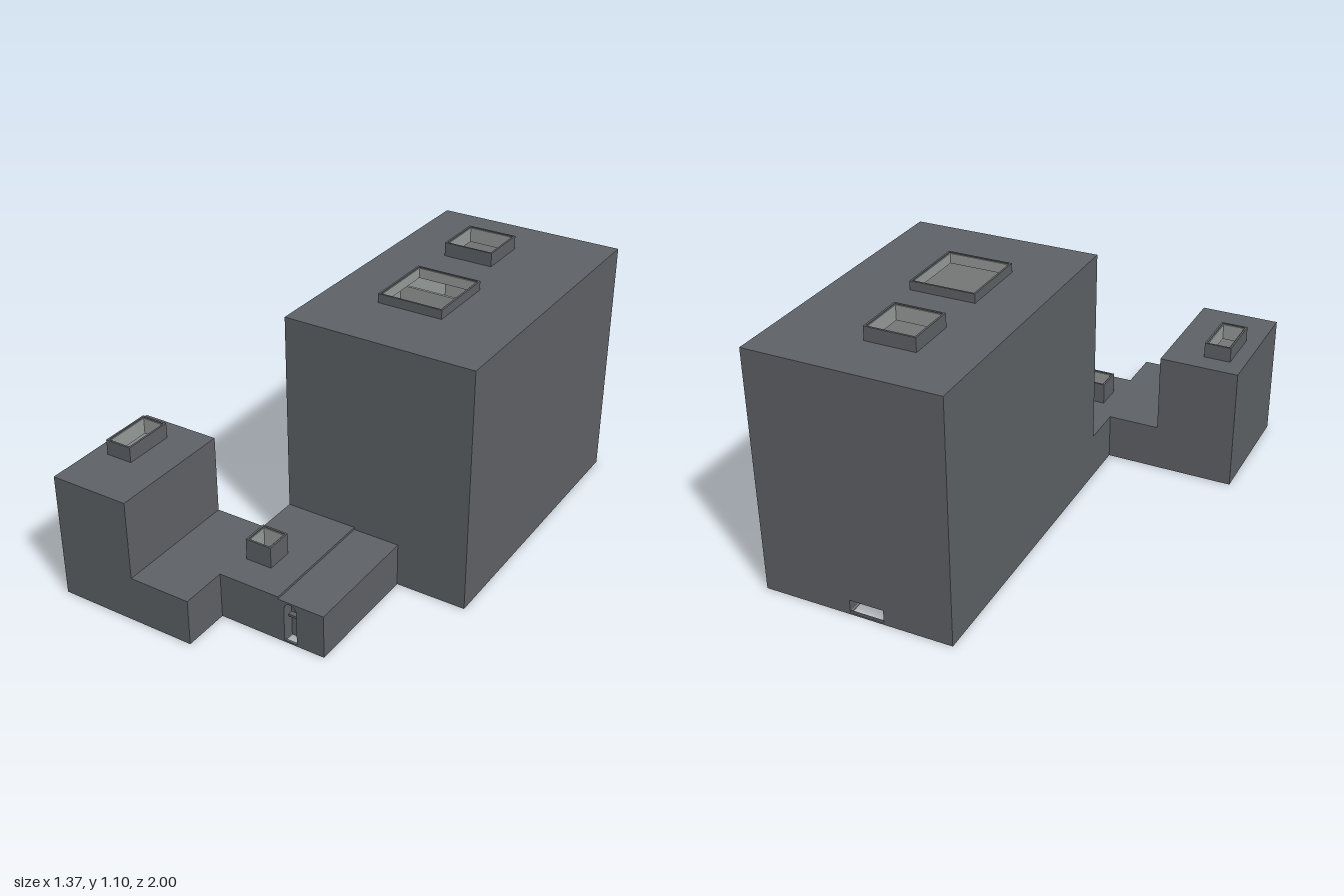
import * as THREE from 'three';

const exterior = new THREE.MeshStandardMaterial({ color: 0x5f6266 });
exterior.name = 'dark grey exterior';
const interior = new THREE.MeshStandardMaterial({ color: 0x979c9a });
interior.name = 'pale grey interior';

const T = 0.008; // wall thickness

export function createModel() {
  const model = new THREE.Group();
  model.name = 'building';

  const add = (name, geo, mat, parent = model) => {
    const m = new THREE.Mesh(geo, mat);
    m.name = name;
    parent.add(m);
    return m;
  };

  const box = (name, x0, x1, y0, y1, z0, z1, mat, parent) => {
    const g = new THREE.BoxGeometry(x1 - x0, y1 - y0, z1 - z0);
    g.translate((x0 + x1) / 2, (y0 + y1) / 2, (z0 + z1) / 2);
    return add(name, g, mat, parent);
  };

  // Four thin walls standing just inside a rectangle; skip leaves sides out
  const ring = (name, [x0, x1, z0, z1], y0, y1, t, mat, parent, skip = '') => {
    if (!skip.includes('l')) box(name, x0, x0 + t, y0, y1, z0, z1, mat, parent);
    if (!skip.includes('r')) box(name, x1 - t, x1, y0, y1, z0, z1, mat, parent);
    if (!skip.includes('b')) box(name, x0 + t, x1 - t, y0, y1, z0, z0 + t, mat, parent);
    if (!skip.includes('f')) box(name, x0 + t, x1 - t, y0, y1, z1 - t, z1, mat, parent);
  };

  const inset = ([x0, x1, z0, z1], d) => [x0 + d, x1 - d, z0 + d, z1 - d];
  const corners = ([x0, x1, z0, z1]) =>
    [[x0, -z1], [x1, -z1], [x1, -z0], [x0, -z0]].map(p => new THREE.Vector2(...p));

  // Horizontal slab with rectangular openings
  const slab = (name, rect, holes, y, t, mat, parent) => {
    const s = new THREE.Shape(corners(rect));
    holes.forEach(h => s.holes.push(new THREE.Path(corners(h))));
    const g = new THREE.ExtrudeGeometry(s, { depth: t, bevelEnabled: false });
    g.rotateX(-Math.PI / 2).translate(0, y, 0);
    return add(name, g, mat, parent);
  };

  // Raised open skylight with a pale inner lining
  const skylight = (rect, roofY, topY, parent) => {
    ring('skylightCurb', rect, roofY - T, topY, T, exterior, parent);
    ring('skylightLining', inset(rect, T), roofY - T, topY - 0.004, 0.004, interior, parent);
  };

  // Hollow volume: walls, roof, floor, lining and skylights
  const volume = (name, rect, h, { lights = [], floorHoles = [], skip = '', lined = false } = {}) => {
    const g = new THREE.Group();
    g.name = name;
    model.add(g);
    ring('wall', rect, 0, h - T, T, exterior, g, skip);
    slab('roof', rect, lights.map(l => inset(l.rect, T)), h - T, T, exterior, g);
    slab('floor', rect, floorHoles, 0, T, exterior, g);
    if (lined) {
      const inner = inset(rect, T);
      ring('wallLining', inner, 0.07, h - T, 0.004, interior, g);
      slab('floorLining', inner, floorHoles, T, 0.004, interior, g);
    }
    lights.forEach(l => skylight(l.rect, h, l.top, g));
    return g;
  };

  // Main hall
  const H = 1.042;
  const hall = volume('mainHall', [-0.125, 0.685, -1, 0.27], H, {
    lights: [
      { rect: [0.107, 0.385, -0.335, -0.025], top: 1.08 },
      { rect: [0.107, 0.32, -0.77, -0.555], top: 1.1 },
    ],
    floorHoles: [[0.165, 0.31, -0.99, -0.92], [0.27, 0.35, -0.3, 0.255]],
    skip: 'b', lined: true,
  });

  // Back wall with a low rectangular opening, and the recess behind it
  const back = new THREE.Shape([
    [-0.125, 0], [0.165, 0], [0.165, 0.065], [0.31, 0.065], [0.31, 0], [0.685, 0],
    [0.685, H - T], [-0.125, H - T],
  ].map(p => new THREE.Vector2(...p)));
  const backGeo = new THREE.ExtrudeGeometry(back, { depth: T, bevelEnabled: false });
  add('backWall', backGeo.translate(0, 0, -1), exterior, hall);
  box('recessBack', 0.165, 0.31, 0, 0.065, -0.92, -0.915, interior, hall);
  box('recessCeiling', 0.16, 0.315, 0.065, 0.07, -0.995, -0.915, exterior, hall);
  for (const x of [0.16, 0.31])
    box('recessSide', x, x + 0.005, 0.005, 0.065, -0.992, -0.915, exterior, hall);

  // Inner partitions under the skylights
  box('partition', -0.11, 0.67, 0.01, 0.85, -0.165, -0.155, interior, hall);
  box('partition', -0.11, 0.67, 0.01, 0.85, -0.585, -0.573, interior, hall);

  // Tower and low wing
  const tower = volume('tower', [-0.685, -0.345, 0.455, 1], 0.535, {
    lights: [{ rect: [-0.62, -0.505, 0.55, 0.77], top: 0.6 }], lined: true,
  });
  box('partition', -0.67, -0.36, 0.01, 0.45, 0.633, 0.645, interior, tower);
  volume('lowWing', [-0.345, -0.125, 0.455, 1], 0.198);
  volume('lowWingEnd', [-0.125, -0.08, 0.8, 1], 0.198);

  // Connector between the wing and the hall
  volume('connector', [-0.125, 0.185, 0.27, 0.8], 0.198, {
    lights: [{ rect: [-0.052, 0.062, 0.553, 0.668], top: 0.29 }], lined: true,
  });

  // Entrance bay with an arched doorway
  const bay = volume('entranceBay', [0.185, 0.385, 0.27, 0.8], 0.188, {
    floorHoles: [[0.27, 0.35, 0.285, 0.57], [0.21, 0.265, 0.75, 0.79]], skip: 'f',
  });
  const front = new THREE.Shape();
  front.moveTo(0.185, 0).lineTo(0.21, 0).lineTo(0.21, 0.1525);
  front.absarc(0.2375, 0.1525, 0.0275, Math.PI, 0, true);
  front.lineTo(0.265, 0).lineTo(0.385, 0).lineTo(0.385, 0.188 - T).lineTo(0.185, 0.188 - T);
  const frontGeo = new THREE.ExtrudeGeometry(front, { depth: T, bevelEnabled: false, curveSegments: 10 });
  add('doorWall', frontGeo.translate(0, 0, 0.8 - T), exterior, bay);
  box('doorBack', 0.2, 0.275, 0, 0.18, 0.74, 0.75, exterior, bay);
  box('doorStep', 0.21, 0.265, 0.1, 0.11, 0.75, 0.77, exterior, bay);
  for (const x of [0.205, 0.265])
    box('doorSide', x, x + 0.005, 0.005, 0.18, 0.75, 0.793, exterior, bay);

  // Stair above the long slot in the floor
  const steps = 10;
  for (let i = 0; i < steps; i++) {
    const z = 0.57 - i * 0.087, y = 0.03 + i * 0.012;
    box('stairStep', 0.262, 0.358, y, y + 0.014, z - 0.087, z, interior);
  }
  return model;
}
